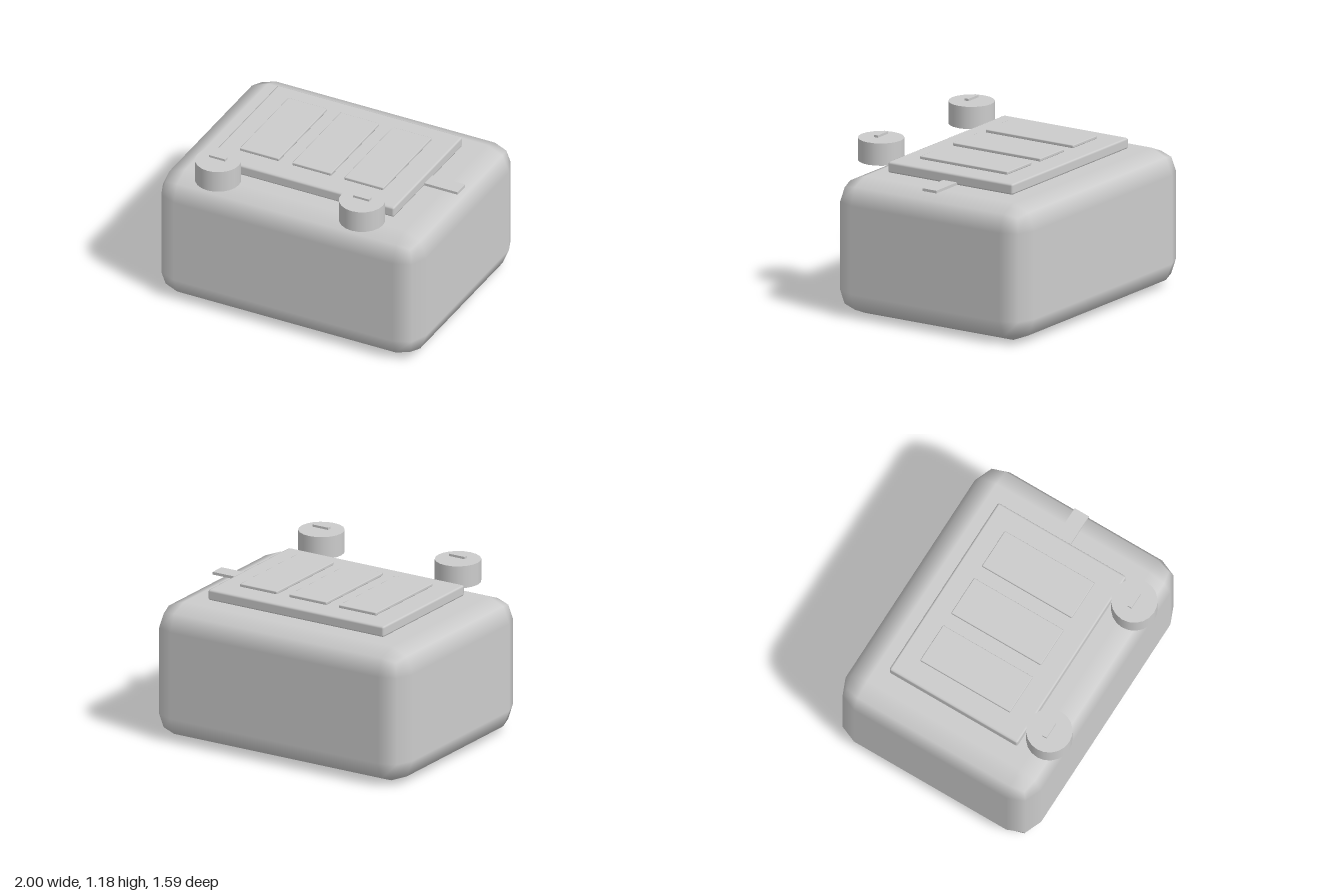
import * as THREE from 'three';
import { RoundedBoxGeometry } from 'three/addons/geometries/RoundedBoxGeometry.js';

export function createModel() {
  const model = new THREE.Group();
  const grey = new THREE.MeshStandardMaterial({ color: 0xcccccc });
  grey.name = 'light grey';

  const add = (name, geometry, x, y, z, parent = model) => {
    const mesh = new THREE.Mesh(geometry, grey);
    mesh.name = name;
    mesh.position.set(x, y, z);
    parent.add(mesh);
    return mesh;
  };

  // Body with broad two-step rounded edges
  add('body', new RoundedBoxGeometry(2, 0.957, 1.545, 1, 0.17), 0, 0.4785, -0.0275);

  // Raised top plate
  add('topPlate', new RoundedBoxGeometry(1.405, 0.077, 1.013, 1, 0.015), -0.002, 1.003, -0.028);

  // Three slot covers on the plate
  for (const x of [-0.4, -0.003, 0.393]) {
    add('slot', new RoundedBoxGeometry(0.296, 0.022, 0.71, 1, 0.006), x, 1.058, -0.03);
  }

  // Lever tab sticking out on the left
  add('lever', new THREE.BoxGeometry(0.3, 0.019, 0.112), 0.8, 0.976, -0.029);

  // Two front knobs with pointer bars
  for (const x of [-0.549, 0.543]) {
    const knob = new THREE.Group();
    knob.name = 'knob';
    knob.position.set(x, 0, 0.637);
    model.add(knob);
    add('knobDial', new THREE.CylinderGeometry(0.157, 0.157, 0.156, 20), 0, 1.073, 0, knob);
    add('knobPointer', new THREE.BoxGeometry(0.124, 0.016, 0.032), 0, 1.172, 0, knob);
  }

  return model;
}
